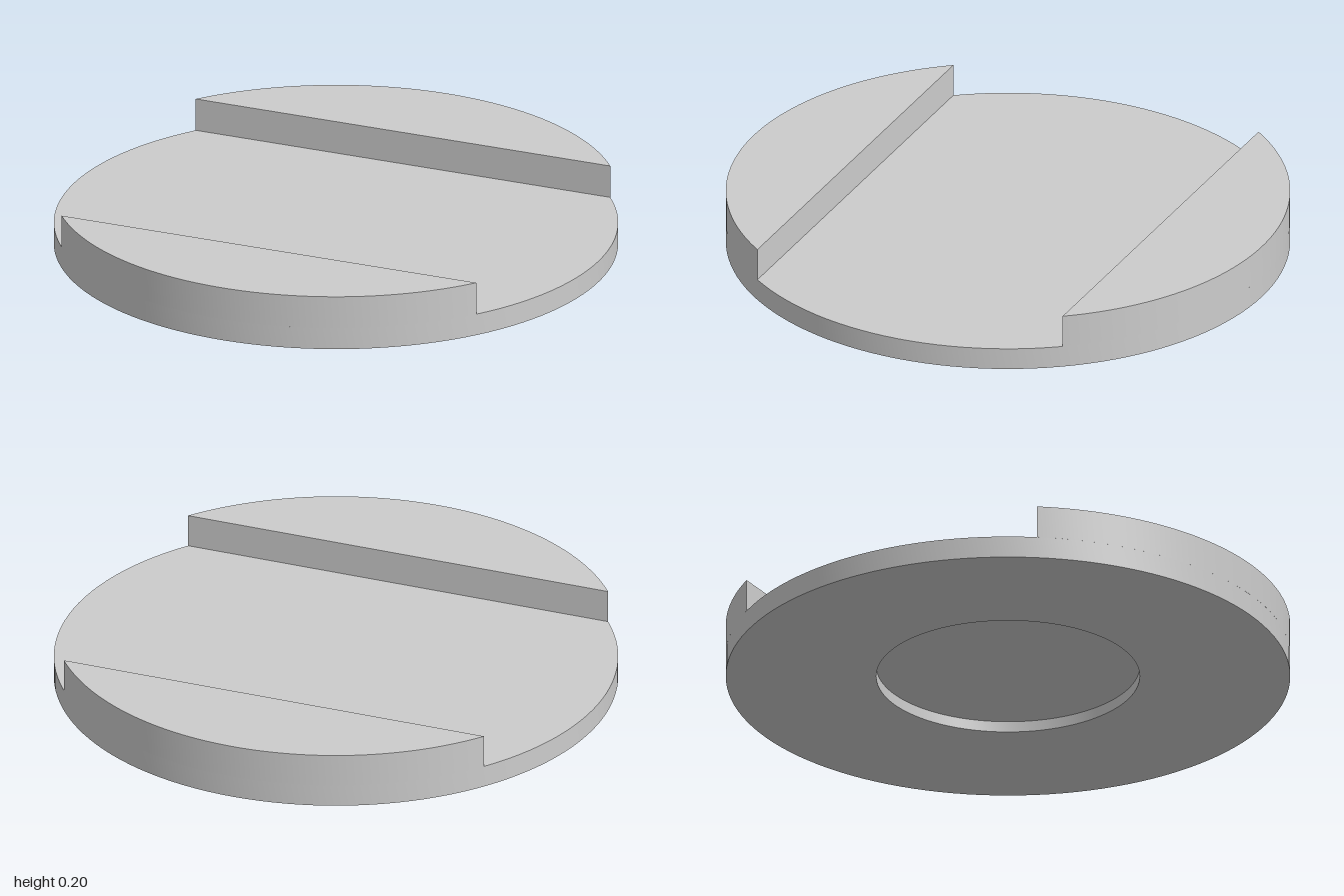
import * as THREE from 'three';
import { toCreasedNormals } from 'three/addons/utils/BufferGeometryUtils.js';

const RADIUS = 1, FLOOR = 0.08, HEIGHT = 0.2, CHORD = 0.6;
const RECESS_RADIUS = 0.467, RECESS_DEPTH = 0.04;

export function createModel() {
  const model = new THREE.Group();
  model.name = 'slottedDisc';
  const grey = new THREE.MeshStandardMaterial({ color: 0xcccccc });
  grey.name = 'plain grey';

  // Thin round plate with a shallow circular recess underneath
  const profile = [
    [0, RECESS_DEPTH], [RECESS_RADIUS, RECESS_DEPTH], [RECESS_RADIUS, 0],
    [RADIUS, 0], [RADIUS, FLOOR], [0, FLOOR],
  ].map(([r, y]) => new THREE.Vector2(r, y));
  const plate = new THREE.Mesh(
    toCreasedNormals(new THREE.LatheGeometry(profile, 128), 0.5), grey);
  plate.name = 'basePlate';
  model.add(plate);

  // Raised circle segments on either side of the wide channel
  const start = Math.asin(CHORD / RADIUS);
  const segment = new THREE.Shape();
  segment.absarc(0, 0, RADIUS, start, Math.PI - start, false);
  segment.closePath();
  const raised = toCreasedNormals(new THREE.ExtrudeGeometry(segment, {
    depth: HEIGHT - FLOOR, bevelEnabled: false, curveSegments: 32,
  }), 0.5);
  raised.rotateX(-Math.PI / 2);
  raised.translate(0, FLOOR, 0);

  for (const [name, turn] of [['backRaisedSegment', 0], ['frontRaisedSegment', Math.PI]]) {
    const mesh = new THREE.Mesh(raised, grey);
    mesh.name = name;
    mesh.rotation.y = turn;
    model.add(mesh);
  }
  return model;
}
